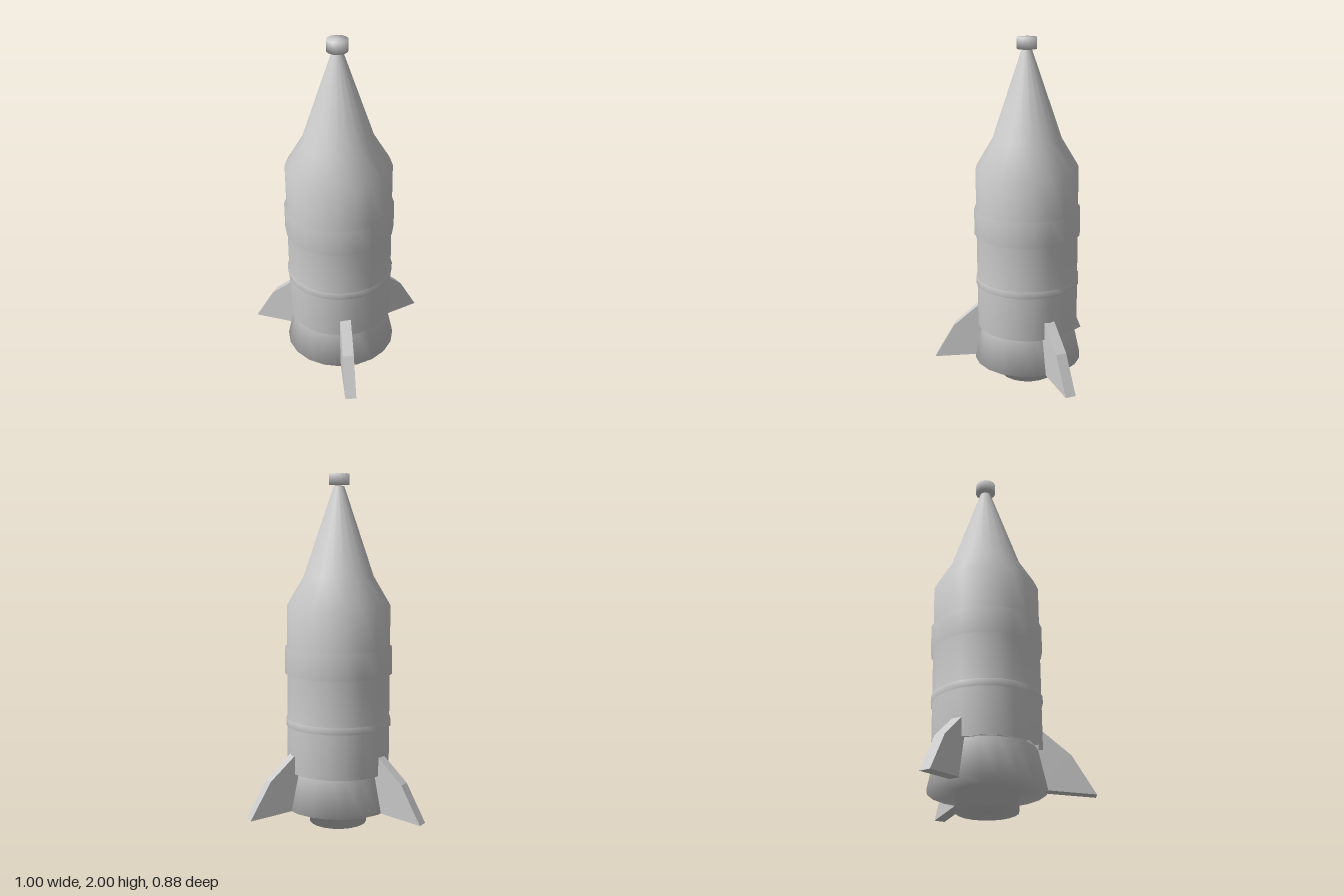
import * as THREE from 'three';

const material = new THREE.MeshStandardMaterial({ color: 0xcccccc });

// Solid of revolution from [radius, height] pairs, listed bottom to top
function turned(name, profile, sides) {
  const points = profile.map(([r, y]) => new THREE.Vector2(r, y));
  const mesh = new THREE.Mesh(new THREE.LatheGeometry(points, sides), material);
  mesh.name = name;
  return mesh;
}

export function createModel() {
  const rocket = new THREE.Group();
  rocket.name = 'rocket';

  // Nozzle, flared skirt, banded body, shoulder and nose cone
  rocket.add(turned('hull', [
    [0, 0], [0.165, 0], [0.165, 0.105],
    [0.315, 0.105], [0.27, 0.32],
    [0.295, 0.32], [0.295, 0.58],
    [0.302, 0.58], [0.302, 0.62],
    [0.295, 0.62], [0.295, 0.88],
    [0.307, 0.88], [0.307, 1.03],
    [0.295, 1.03], [0.295, 1.27],
    [0.2, 1.43], [0.03, 1.93], [0, 1.93],
  ], 20));

  // Small cap at the tip
  rocket.add(turned('noseCap', [[0, 1.937], [0.057, 1.937], [0.057, 2], [0, 2]], 12));

  // Three swept fins, drawn as radius against height
  const thickness = 0.062;
  const outline = [[0.25, 0.11], [0.56, 0.08], [0.44, 0.29], [0.285, 0.43], [0.25, 0.43]];
  const shape = new THREE.Shape(outline.map(([r, y]) => new THREE.Vector2(r, y)));
  const finGeometry = new THREE.ExtrudeGeometry(shape, { depth: thickness, bevelEnabled: false });
  finGeometry.translate(0, 0, -thickness / 2);
  const fins = { finBack: 90, finLeft: -30, finRight: -150 };
  for (const [name, degrees] of Object.entries(fins)) {
    const fin = new THREE.Mesh(finGeometry, material);
    fin.name = name;
    fin.rotation.y = THREE.MathUtils.degToRad(degrees);
    rocket.add(fin);
  }

  // Shift the axis so the fins' footprint is centred
  rocket.position.z = 0.12;
  const model = new THREE.Group();
  model.name = 'model';
  model.add(rocket);
  return model;
}
